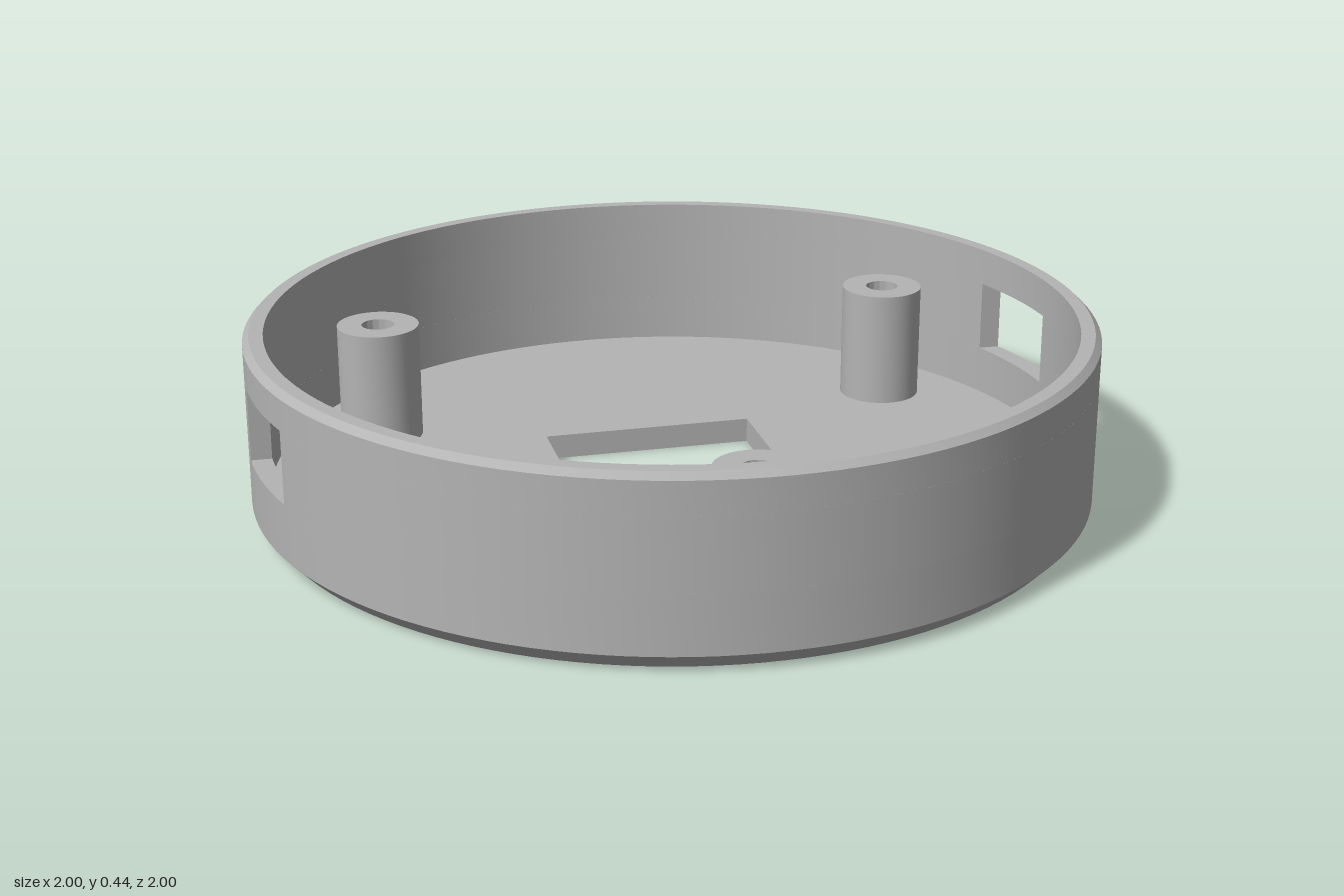
import * as THREE from 'three';
import { toCreasedNormals } from 'three/addons/utils/BufferGeometryUtils.js';

const SEGMENTS = 128;
const OUTER = 1, INNER = 0.952;          // wall radii
const FLOOR = 0.06, TOP = 0.44;          // floor thickness, rim height
const SILL = 0.177, LINTEL = 0.35;       // side window heights
const NEAR = 0.03, FAR = 0.31;           // side window extent across the wall

export function createModel() {
  const group = new THREE.Group();
  const grey = new THREE.MeshStandardMaterial({ color: 0xb4b4b4 });
  grey.name = 'grey plastic';

  const add = (name, geometry) => {
    const mesh = new THREE.Mesh(toCreasedNormals(geometry, 0.4), grey);
    mesh.name = name;
    group.add(mesh);
    return mesh;
  };
  const lathe = (points, segments = SEGMENTS) =>
    new THREE.LatheGeometry(points.map(([r, y]) => new THREE.Vector2(r, y)), segments);
  // Extrudes a plan shape (x, -z) upwards from y0 to y1
  const slab = (shape, y0, y1, curveSegments) =>
    new THREE.ExtrudeGeometry(shape, { depth: y1 - y0, bevelEnabled: false, curveSegments })
      .rotateX(-Math.PI / 2).translate(0, y0, 0);

  // Floor disc with a rectangular opening
  const disc = new THREE.Shape().absarc(0, 0, INNER, 0, Math.PI * 2, false);
  const w = 0.258, d = 0.252;
  disc.holes.push(new THREE.Path([[-w, -d], [-w, d], [w, d], [w, -d]]
    .map(([x, y]) => new THREE.Vector2(x, y))));
  add('floor', slab(disc, 0, FLOOR, SEGMENTS));

  // Wall below the windows, with the chamfered foot
  add('lowerWall', lathe([
    [INNER, 0], [0.962, 0], [OUTER, 0.04], [OUTER, SILL], [INNER, SILL], [INNER, 0],
  ]));

  // Wall above the windows, with the bevelled rim
  add('upperWall', lathe([
    [INNER, LINTEL], [OUTER, LINTEL], [OUTER, 0.425], [0.985, TOP], [INNER, TOP], [INNER, LINTEL],
  ]));

  // Two wall arcs that leave an opposed pair of straight-cut windows
  const arc = new THREE.Shape();
  arc.absarc(0, 0, OUTER, Math.asin(FAR / OUTER), Math.PI + Math.asin(NEAR / OUTER), false);
  arc.absarc(0, 0, INNER, Math.PI + Math.asin(NEAR / INNER), Math.asin(FAR / INNER), true);
  arc.closePath();
  ['backWall', 'frontWall'].forEach((name, i) => {
    add(name, slab(arc, SILL, LINTEL, SEGMENTS / 2)).rotation.y = i * Math.PI;
  });

  // Three hollow screw posts
  for (let i = 0; i < 3; i++) {
    const a = i * Math.PI * 2 / 3;
    const post = add('screwPost', lathe([
      [0.1, FLOOR], [0.1, 0.345], [0.04, 0.345], [0.04, FLOOR],
    ], 48));
    post.position.set(0.75 * Math.sin(a), 0, 0.75 * Math.cos(a));
  }
  return group;
}
